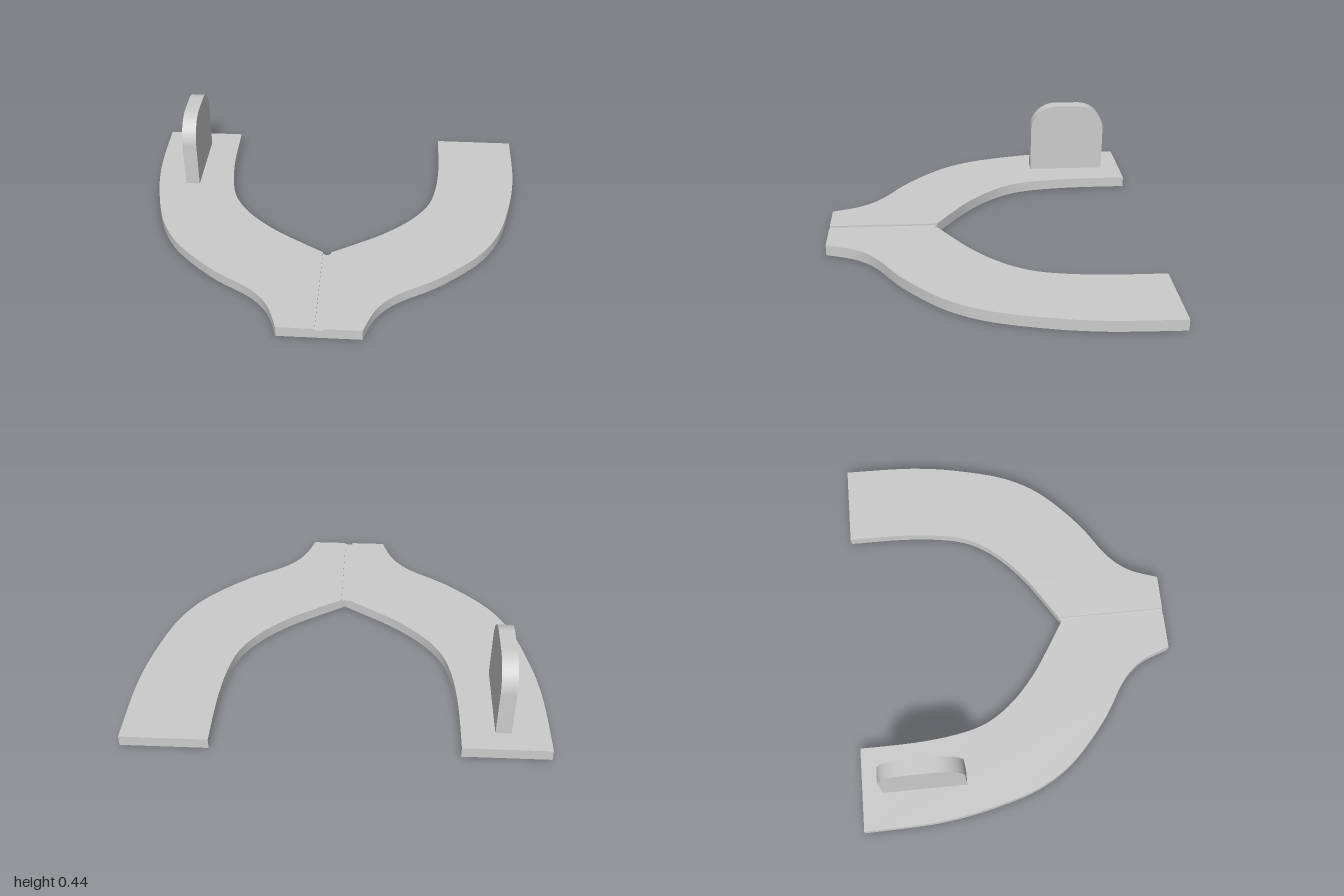
import * as THREE from 'three';
import { toCreasedNormals } from 'three/addons/utils/BufferGeometryUtils.js';

const T = 0.055;      // plate thickness
const G = 0.02;       // half width of the groove
const END = 0.82;     // front and back ends

const material = new THREE.MeshStandardMaterial({ color: 0xcccccc });

const vectors = (pts, s = 1) => pts.map(([x, z]) => new THREE.Vector2(s * x, -z));

function extrude(shape, depth, curveSegments = 12) {
  return new THREE.ExtrudeGeometry(shape, { depth, bevelEnabled: false, curveSegments });
}

function addMesh(group, name, geometry) {
  const mesh = new THREE.Mesh(toCreasedNormals(geometry, 0.5), material);
  mesh.name = name;
  group.add(mesh);
}

// One curved arm, from the groove to its square back end; s mirrors it
function armGeometry(s) {
  const shape = new THREE.Shape();
  const inner = [[0.21, 0.145], [0.3, 0.08], [0.4, -0.01], [0.48, -0.11], [0.53, -0.21],
    [0.56, -0.34], [0.576, -0.48], [0.582, -0.62], [0.583, -END]];
  const outer = [[0.995, -0.56], [0.983, -0.4], [0.955, -0.23], [0.895, 0], [0.82, 0.16],
    [0.717, 0.29], [0.545, 0.44], [0.38, 0.545], [0.3, 0.615], [0.246, 0.695], [0.2, END]];
  shape.moveTo(s * G, -0.264);
  shape.splineThru(vectors(inner, s));
  shape.lineTo(s * 1, END);
  shape.splineThru(vectors(outer, s));
  shape.lineTo(s * G, -END);
  shape.closePath();
  return extrude(shape, T, 4).rotateX(-Math.PI / 2);
}

export function createModel() {
  const group = new THREE.Group();
  group.name = 'forkedPlate';

  addMesh(group, 'leftArm', armGeometry(1));
  addMesh(group, 'rightArm', armGeometry(-1));

  // Lower strip between the arms forms the shallow groove floor
  const strip = new THREE.Shape(vectors([[-G, 0.264], [-G, END], [G, END], [G, 0.264], [0, 0.277]]));
  addMesh(group, 'grooveFloor', extrude(strip, T - 0.009).rotateX(-Math.PI / 2));

  // Upright tab with rounded top corners on the right arm
  const z0 = -0.715, z1 = -0.295, top = 0.44, r = 0.145;
  const tab = new THREE.Shape();
  tab.moveTo(z0, T);
  tab.lineTo(z1, T);
  tab.lineTo(z1, top - r);
  tab.absarc(z1 - r, top - r, r, 0, Math.PI / 2);
  tab.lineTo(z0 + r, top);
  tab.absarc(z0 + r, top - r, r, Math.PI / 2, Math.PI);
  tab.closePath();
  addMesh(group, 'uprightTab', extrude(tab, 0.075).rotateY(-Math.PI / 2).translate(-0.743, 0, 0));

  return group;
}
